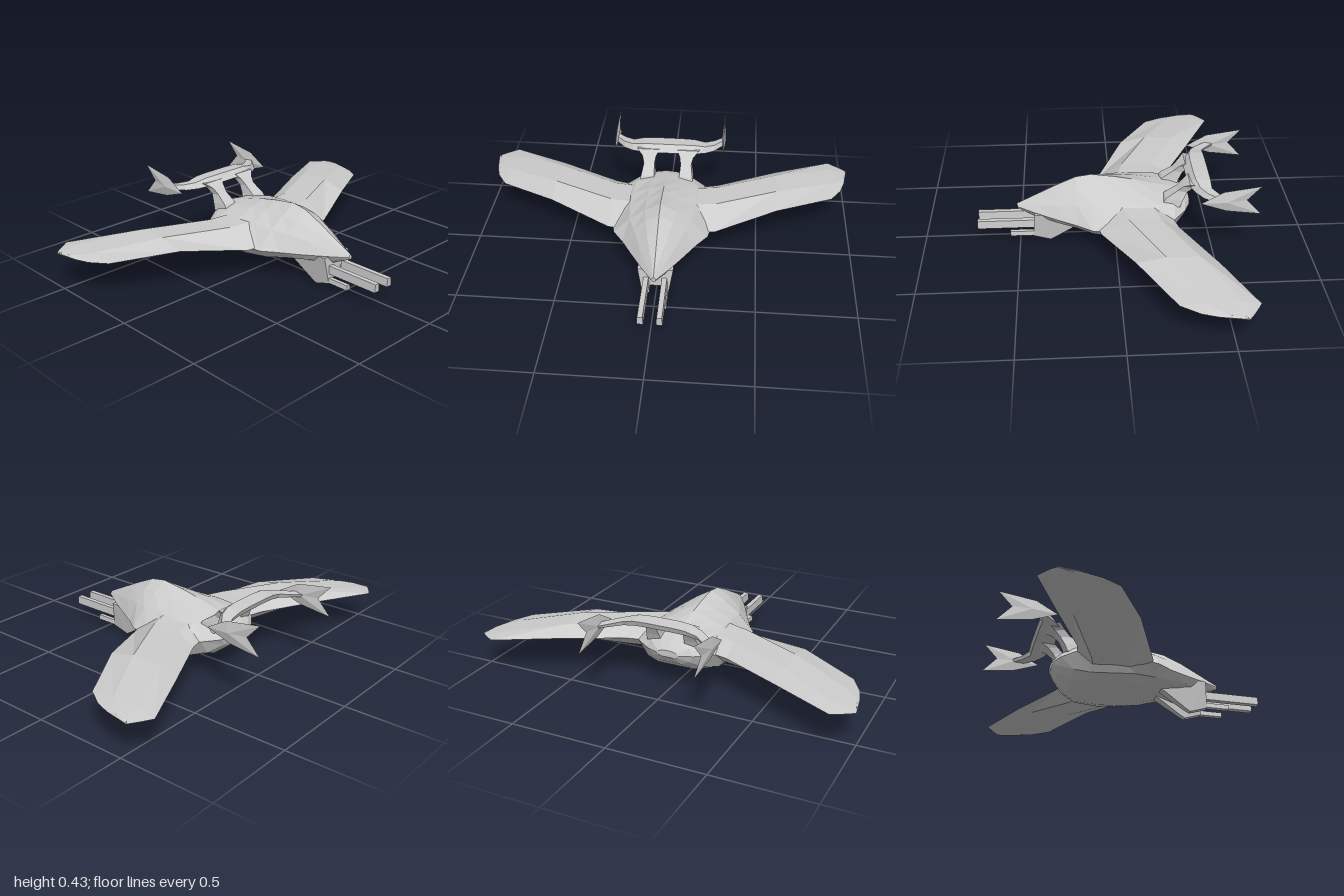
import * as THREE from 'three';

const material = new THREE.MeshStandardMaterial({ color: 0xcccccc, flatShading: true });

// Skins closed rings of [x, y, z] points, caps both ends and faces everything outward.
function loft(name, rings) {
  const tris = [];
  const add = (a, b, c) => {
    const p = [a, b, c].map((v) => new THREE.Vector3(...v));
    const area = p[1].clone().sub(p[0]).cross(p[2].clone().sub(p[0])).length();
    if (area > 1e-8) tris.push(p);
  };
  const n = rings[0].length;
  for (let i = 0; i < rings.length - 1; i++) {
    for (let j = 0; j < n; j++) {
      const k = (j + 1) % n;
      add(rings[i][j], rings[i + 1][j], rings[i + 1][k]);
      add(rings[i][j], rings[i + 1][k], rings[i][k]);
    }
  }
  const first = rings[0], last = rings[rings.length - 1];
  for (let j = 1; j < n - 1; j++) {
    add(first[0], first[j], first[j + 1]);
    add(last[0], last[j + 1], last[j]);
  }
  let volume = 0;
  for (const [a, b, c] of tris) volume += a.dot(b.clone().cross(c));
  const points = tris.flatMap(([a, b, c]) => (volume < 0 ? [a, c, b] : [a, b, c]));
  const geometry = new THREE.BufferGeometry().setFromPoints(points);
  geometry.computeVertexNormals();
  const mesh = new THREE.Mesh(geometry, material);
  mesh.name = name;
  return mesh;
}

const mirrorX = (rings) => rings.map((r) => r.map(([x, y, z]) => [-x, y, z]));

// Square bar running along z
const bar = (x, w, y0, y1, z0, z1) => [z0, z1].map((z) => [
  [x - w, y0, z], [x + w, y0, z], [x + w * 0.8, y1, z], [x - w * 0.8, y1, z],
]);

export function createModel() {
  const model = new THREE.Group();
  const addPair = (name, rings) => {
    model.add(loft(name + 'Left', rings), loft(name + 'Right', mirrorX(rings)));
  };

  // Hull stations: z, ridge y, then (x, y) for canopy, shoulder, side, chine, keel
  const hull = [
    [0.51, 0.195, 0.005, 0.19, 0.009, 0.185, 0.012, 0.18, 0.009, 0.172, 0.005, 0.168],
    [0.42, 0.24, 0.02, 0.23, 0.045, 0.205, 0.068, 0.175, 0.05, 0.15, 0.03, 0.13],
    [0.3, 0.3, 0.05, 0.275, 0.095, 0.23, 0.135, 0.168, 0.11, 0.135, 0.06, 0.12],
    [0.2, 0.345, 0.07, 0.305, 0.13, 0.25, 0.19, 0.165, 0.15, 0.125, 0.08, 0.11],
    [0.12, 0.357, 0.08, 0.312, 0.16, 0.255, 0.245, 0.165, 0.19, 0.115, 0.1, 0.098],
    [0, 0.34, 0.08, 0.308, 0.17, 0.262, 0.27, 0.17, 0.22, 0.108, 0.14, 0.08],
    [-0.1, 0.32, 0.08, 0.3, 0.17, 0.265, 0.28, 0.19, 0.22, 0.1, 0.15, 0.08],
    [-0.22, 0.29, 0.08, 0.28, 0.16, 0.262, 0.27, 0.2, 0.2, 0.1, 0.14, 0.08],
    [-0.3, 0.272, 0.08, 0.265, 0.14, 0.25, 0.21, 0.2, 0.16, 0.125, 0.1, 0.1],
    [-0.36, 0.25, 0.05, 0.245, 0.1, 0.23, 0.13, 0.2, 0.1, 0.165, 0.06, 0.145],
    [-0.39, 0.22, 0.03, 0.218, 0.05, 0.21, 0.06, 0.2, 0.05, 0.19, 0.03, 0.185],
  ];
  model.add(loft('hull', hull.map(([z, top, ...p]) => {
    const half = [];
    for (let i = 0; i < p.length; i += 2) half.push([p[i], p[i + 1], z]);
    return [[0, top, z], ...half, ...mirrorX([half])[0].reverse()];
  })));

  // Wing stations: x, leading z and y, trailing z and y, upper y, lower y
  const wing = [
    [0.12, 0.12, 0.18, -0.27, 0.2, 0.262, 0.13],
    [0.28, 0.08, 0.168, -0.31, 0.2, 0.252, 0.135],
    [0.6, -0.07, 0.215, -0.47, 0.2, 0.246, 0.187],
    [0.9, -0.24, 0.192, -0.61, 0.19, 0.207, 0.18],
    [0.955, -0.33, 0.187, -0.575, 0.187, 0.198, 0.178],
    [0.98, -0.41, 0.185, -0.557, 0.186, 0.193, 0.179],
    [1, -0.53, 0.184, -0.54, 0.184, 0.186, 0.182],
  ];
  addPair('wing', wing.map(([x, zl, yl, zt, yt, up, low]) => {
    const at = (t) => zl + (zt - zl) * t;
    return [
      [x, yl, zl], [x, up, at(0.35)], [x, up - 0.004, at(0.76)],
      [x, yt, zt], [x, low, at(0.8)], [x, low, at(0.3)],
    ];
  }));

  // Chin block under the nose with a pair of downward cheeks
  const chin = [[0.42, 0.19], [0.425, 0.075], [0.33, 0.06], [0.18, 0.11], [0.12, 0.14], [0.25, 0.2]];
  model.add(loft('chinBlock', [-0.055, 0.055].map((x) => chin.map(([z, y]) => [x, y, z]))));
  const cheek = [[0.42, 0.17], [0.43, 0.03], [0.34, 0.002], [0.31, 0.02], [0.17, 0.115], [0.25, 0.17]];
  addPair('chinCheek', [0.03, 0.066].map((x, i) => cheek.map(([z, y]) =>
    [x + (i ? 0.1 : -0.05) * (y - 0.03) * (y > 0.1 ? 1.6 : 1), y, z])));

  // Forward barrels, long above and short below
  addPair('upperBarrel', bar(0.046, 0.016, 0.08, 0.123, 0.36, 0.72));
  addPair('lowerBarrel', bar(0.054, 0.013, 0.033, 0.058, 0.36, 0.55));

  // Tail struts rising backward: y, x range, z range
  const strut = [
    [0.24, 0.06, 0.145, -0.23, -0.33],
    [0.28, 0.068, 0.14, -0.255, -0.345],
    [0.32, 0.072, 0.13, -0.315, -0.365],
    [0.35, 0.065, 0.14, -0.345, -0.395],
    [0.375, 0.05, 0.17, -0.375, -0.44],
  ];
  addPair('tailStrut', strut.map(([y, x0, x1, z0, z1]) =>
    [[x0, y, z0], [x1, y, z0], [x1, y - 0.01, z1], [x0, y - 0.01, z1]]));

  // Tail beam: x, front z, crest z, rear z, lower y, upper y
  const beam = [
    [0.07, -0.365, -0.4, -0.48, 0.36, 0.395],
    [0.14, -0.37, -0.405, -0.48, 0.358, 0.392],
    [0.2, -0.4, -0.42, -0.48, 0.348, 0.378],
    [0.25, -0.435, -0.455, -0.515, 0.344, 0.37],
    [0.3, -0.5, -0.515, -0.565, 0.344, 0.366],
  ];
  const beamRings = beam.map(([x, zf, zc, zr, lo, up]) =>
    [[x, lo, zf], [x, up, zc], [x, up - 0.006, zr], [x, lo + 0.002, zr + 0.01]]);
  model.add(loft('tailBeam', [...mirrorX(beamRings).reverse(), ...beamRings]));

  // Arrow-shaped tail fins, thickest in the middle
  const fin = [
    [0.345, -0.41], [0.408, -0.52], [0.436, -0.71], [0.36, -0.64],
    [0.277, -0.715], [0.3, -0.54],
  ];
  const apex = (x) => fin.map(() => [x, 0.354, -0.54]);
  addPair('tailFin', [apex(0.289), fin.map(([y, z]) => [0.301, y, z]), apex(0.313)]);

  return model;
}
